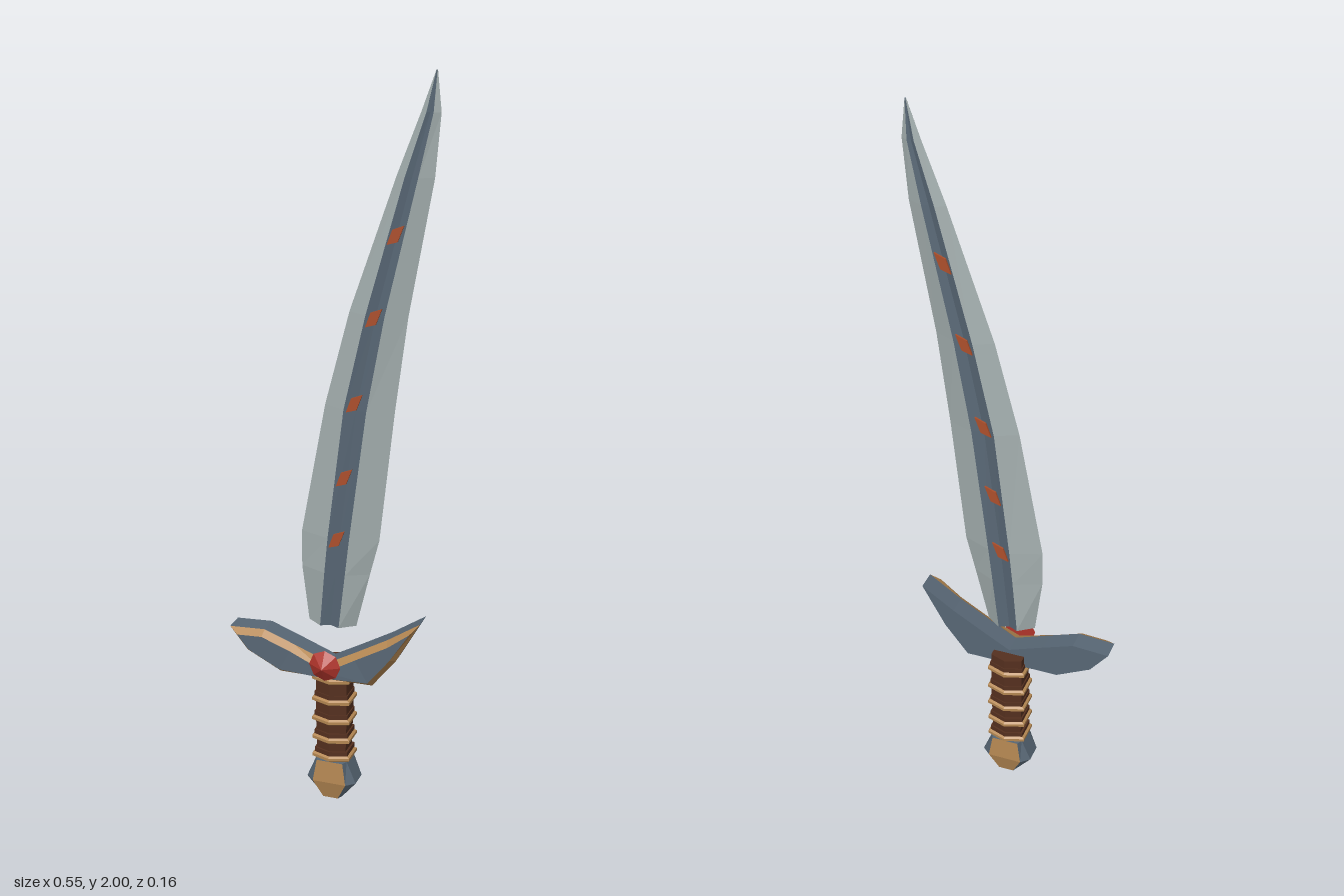
import * as THREE from 'three';

const mat = (name, color) => {
  const m = new THREE.MeshStandardMaterial({ color });
  m.name = name;
  return m;
};

// Turns lists of triangles, one list per material, into one flat-faceted mesh.
function facetMesh(name, lists, mats) {
  const geo = new THREE.BufferGeometry();
  const all = [];
  lists.forEach((list, i) => {
    if (list.length) geo.addGroup(all.length / 3, list.length / 3, i);
    for (const v of list) all.push(v);
  });
  geo.setAttribute('position', new THREE.Float32BufferAttribute(all, 3));
  geo.computeVertexNormals();
  const mesh = new THREE.Mesh(geo, mats);
  mesh.name = name;
  return mesh;
}

const tri = (list, ...pts) => pts.forEach((p) => list.push(...p));
const quad = (list, a, b, c, d) => tri(list, a, b, c, a, c, d);

// Skins rings of points stacked upwards; pick(j) chooses the material of side j.
function loft(name, rings, mats, pick = () => 0, capIndex = 0) {
  const lists = mats.map(() => []);
  const n = rings[0].length;
  for (let i = 0; i + 1 < rings.length; i++) {
    for (let j = 0; j < n; j++) {
      const k = (j + 1) % n;
      quad(lists[pick(j)], rings[i][j], rings[i][k], rings[i + 1][k], rings[i + 1][j]);
    }
  }
  const centre = (r) => [0, 1, 2].map((c) => r.reduce((s, p) => s + p[c], 0) / n);
  const low = rings[0], high = rings[rings.length - 1];
  for (let j = 0; j < n; j++) {
    const k = (j + 1) % n;
    tri(lists[capIndex], centre(low), low[k], low[j]);
    tri(lists[capIndex], centre(high), high[j], high[k]);
  }
  return facetMesh(name, lists, mats);
}

const AXIS_X = 0.008, GRIP_Z = -0.027, BLADE_Z = -0.03;

export function createModel() {
  const steel = mat('blade steel', 0xa3aeae);
  const slate = mat('slate metal', 0x586775);
  const gold = mat('aged gold', 0xb48752);
  const leather = mat('grip leather', 0x55301f);
  const red = mat('red gem', 0xb0342b);
  const ember = mat('ember inlay', 0xac4f2c);

  const model = new THREE.Group();
  model.name = 'sword';

  // Curved blade with a grooved fuller: y, left edge, right edge, fuller left, fuller right, half depth
  const blade = [
    [0.515, -0.065, 0.068, -0.024, 0.028, 0.03],
    [0.67, -0.085, 0.105, -0.012, 0.045, 0.03],
    [0.77, -0.085, 0.13, -0.003, 0.056, 0.03],
    [1.13, -0.02, 0.168, 0.039, 0.1, 0.027],
    [1.385, 0.045, 0.2, 0.095, 0.145, 0.024],
    [1.74, 0.165, 0.262, 0.19, 0.224, 0.016],
    [1.9, 0.225, 0.275, 0.24, 0.258, 0.01],
    [2.0, 0.26, 0.264, 0.261, 0.263, 0.002],
  ];
  const bladeRings = blade.map(([y, l, r, fl, fr, t]) => {
    const m = (fl + fr) / 2, g = t * 0.6;
    return [[r, 0], [fr, -t], [m, -g], [fl, -t], [l, 0], [fl, t], [m, g], [fr, t]]
      .map(([x, z]) => [x, y, z + BLADE_Z]);
  });
  model.add(loft('blade', bladeRings, [steel, slate], (j) => ([1, 2, 5, 6].includes(j) ? 1 : 0), 1));

  // Slanted inlays on both faces of the fuller: x, y, half depth of the blade there
  const inlayShape = new THREE.Shape([[-0.022, -0.025], [0.006, -0.016], [0.022, 0.026], [-0.008, 0.014]]
    .map(([x, y]) => new THREE.Vector2(x, y)));
  const inlayGeo = new THREE.ExtrudeGeometry(inlayShape, { depth: 0.005, bevelEnabled: false });
  inlayGeo.translate(0, 0, -0.0025);
  for (const [x, y, t] of [[0.022, 0.77, 0.03], [0.042, 0.945, 0.029], [0.068, 1.15, 0.027],
    [0.117, 1.38, 0.024], [0.17, 1.595, 0.02]]) {
    for (const side of [1, -1]) {
      const inlay = new THREE.Mesh(inlayGeo, ember);
      inlay.name = 'bladeInlay';
      inlay.position.set(x, y, BLADE_Z + side * t);
      model.add(inlay);
    }
  }

  // Winged guard: outline along the top from left to right, then back along the bottom
  const outline = [
    [-0.275, 0.482], [-0.175, 0.488], [-0.09, 0.457], [AXIS_X, 0.42], [0.08, 0.46], [0.17, 0.512],
    [0.26, 0.572], [0.195, 0.455], [0.13, 0.372], [AXIS_X, 0.372], [-0.13, 0.372], [-0.225, 0.42],
  ];
  const n = outline.length;
  const inner = outline.map((p, i) => {
    // Inset each corner along the bisector of its two edges
    const a = outline[(i + n - 1) % n], b = outline[(i + 1) % n];
    const norm = (s, e) => new THREE.Vector2(e[1] - s[1], s[0] - e[0]).normalize();
    const n1 = norm(a, p), bis = n1.clone().add(norm(p, b)).normalize();
    const d = Math.min(0.014 / bis.dot(n1), 0.035);
    return [p[0] + bis.x * d, p[1] + bis.y * d, i % 6 === 3 ? 0.05 : 0.04];
  });
  const back = outline.map(([x, y]) => [x, y, -0.035]);
  const front = outline.map(([x, y]) => [x, y, 0.02]);
  const plate = [], rim = [];
  for (let i = 0; i < n; i++) {
    const k = (i + 1) % n;
    quad(plate, back[i], back[k], front[k], front[i]);
    quad(rim, front[i], front[k], inner[k], inner[i]);
  }
  for (let i = 0; i < 6; i++) {
    const lo = (n - i) % n, lo2 = n - i - 1;
    quad(plate, inner[i], inner[lo], inner[lo2], inner[i + 1]);
    quad(plate, back[i], back[i + 1], back[lo2], back[lo]);
  }
  // The outline runs clockwise, so the side walls and rim are turned outwards
  model.add(facetMesh('guard', [plate, rim], [slate, gold].map((m) => {
    m.side = THREE.DoubleSide;
    return m;
  })));

  // Pointed gem on the front of the guard
  const gem = new THREE.Mesh(new THREE.ConeGeometry(0.044, 0.027, 8).toNonIndexed(), red);
  gem.geometry.computeVertexNormals();
  gem.name = 'gem';
  gem.rotation.x = Math.PI / 2;
  gem.position.set(AXIS_X, 0.425, 0.0665);
  model.add(gem);

  // Six-sided grip with raised gold bands
  const gripRing = (y, rx, rz) => [[1, 0.65], [1, -0.65], [0, -1], [-1, -0.65], [-1, 0.65], [0, 1]]
    .map(([x, z]) => [AXIS_X + x * rx, y, GRIP_Z + z * rz]);
  model.add(loft('grip', [gripRing(0.1, 0.04, 0.04), gripRing(0.25, 0.044, 0.043),
    gripRing(0.408, 0.044, 0.044)], [leather]));
  for (const y of [0.125, 0.18, 0.237, 0.296, 0.36]) {
    model.add(loft('gripBand', [gripRing(y - 0.009, 0.045, 0.044), gripRing(y - 0.004, 0.053, 0.051),
      gripRing(y + 0.004, 0.053, 0.051), gripRing(y + 0.009, 0.045, 0.044)], [gold]));
    // Leather cord beside each band
    model.add(loft('gripCord', [gripRing(y + 0.009, 0.047, 0.046), gripRing(y + 0.022, 0.047, 0.046)], [leather]));
  }

  // Faceted pommel: gold front and back, slate flanks
  const pommelRing = (y, w, f, d, s) =>
    [[w, s], [w, -s], [f, -d], [-f, -d], [-w, -s], [-w, s], [-f, d], [f, d]]
      .map(([x, z]) => [AXIS_X + x, y, GRIP_Z + z]);
  model.add(loft('pommel', [
    pommelRing(0, 0.028, 0.021, 0.034, 0.02),
    pommelRing(0.052, 0.07, 0.047, 0.047, 0.026),
    pommelRing(0.115, 0.044, 0.037, 0.043, 0.026),
  ], [gold, slate], (j) => (j === 2 || j === 6 ? 0 : 1), 1));

  return model;
}
